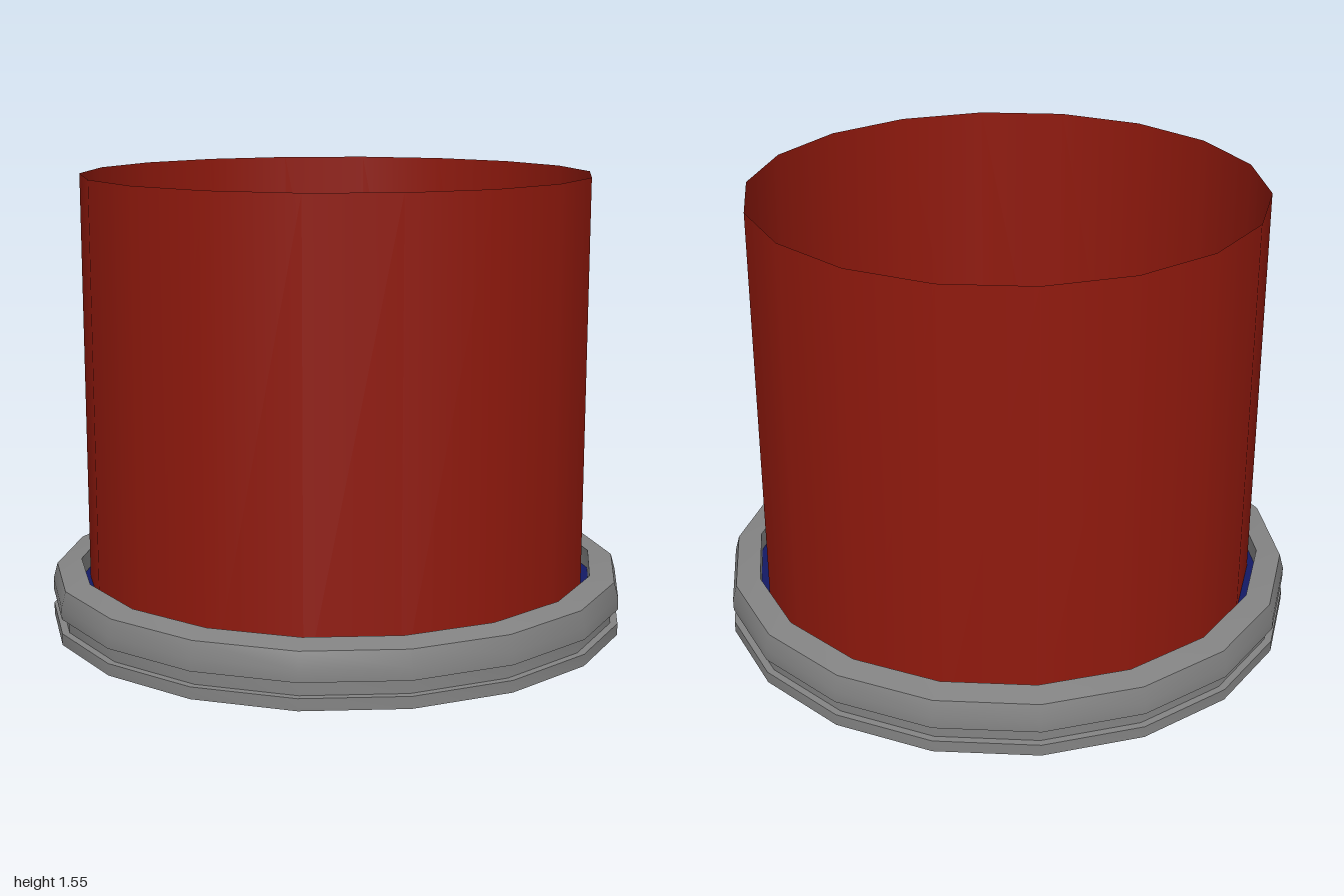
import * as THREE from 'three';
import { toCreasedNormals } from 'three/addons/utils/BufferGeometryUtils.js';

const SIDES = 18;

function part(name, geometry, color) {
  const material = new THREE.MeshStandardMaterial({ color, side: THREE.DoubleSide });
  const mesh = new THREE.Mesh(geometry, material);
  mesh.name = name;
  return mesh;
}

export function createModel() {
  const model = new THREE.Group();
  model.name = 'tubWithCollar';

  // Open thin-walled tube, with a corner on the x axis
  const height = 1.55;
  const tube = part('tube',
    new THREE.CylinderGeometry(0.87, 0.87, height, SIDES, 1, true, Math.PI / 2), 0x90190d);
  tube.position.y = height / 2;
  model.add(tube);

  // Grooved collar: a thin shell, open below, whose inner lip drops to the floor disc
  const floorY = 0.135;
  const profile = [
    [1, 0], [1, 0.04], [0.975, 0.04], [0.975, 0.09],
    [1, 0.09], [1, 0.13], [0.985, 0.185], [0.9, 0.2], [0.9, floorY],
  ].map(([r, y]) => new THREE.Vector2(r, y));
  const collar = new THREE.LatheGeometry(profile, SIDES, Math.PI / 2);
  model.add(part('collar', toCreasedNormals(collar, THREE.MathUtils.degToRad(35)), 0x838383));

  // Floor disc, reaching past the tube wall to the collar
  const floor = part('floorDisc', new THREE.CircleGeometry(0.9, SIDES), 0x131964);
  floor.rotation.x = -Math.PI / 2;
  floor.position.y = floorY;
  model.add(floor);

  return model;
}
